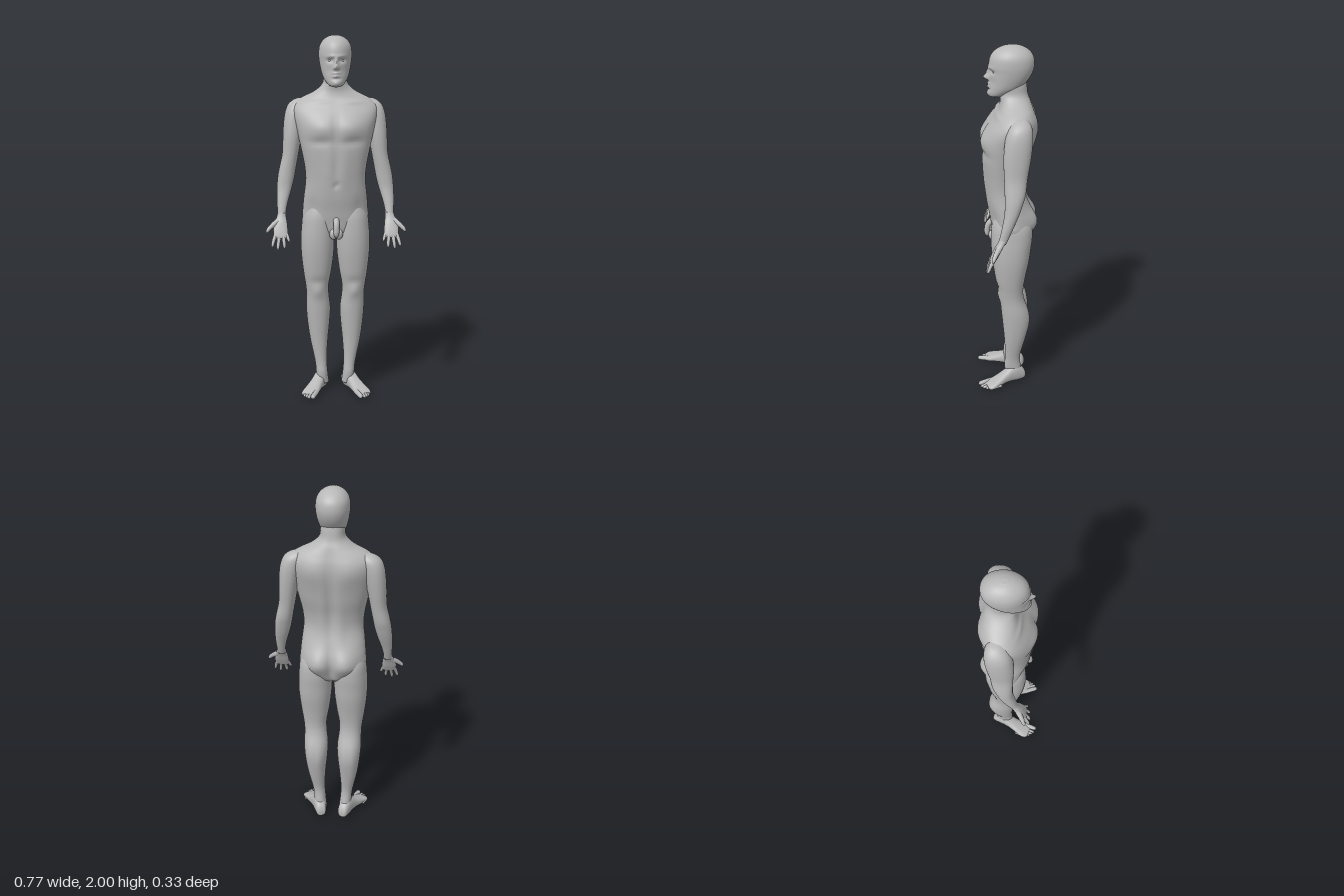
import * as THREE from 'three';
import { mergeVertices, mergeGeometries } from 'three/addons/utils/BufferGeometryUtils.js';

const skin = new THREE.MeshStandardMaterial({ color: 0xb8b8b8 });
skin.name = 'plain grey';

// Gaussian falloff around a point, used for all soft sculpting
const g = (x, y, cx, cy, rx, ry) => Math.exp(-(((x - cx) / rx) ** 2) - ((y - cy) / ry) ** 2);
const spow = (v, e) => Math.sign(v) * Math.abs(v) ** e;

// Smooth skin through horizontal sections [y, centreX, halfWidth, frontZ, backZ, squareness]
function loft(rows, { n = 48, sub = 5, sculpt } = {}) {
  const rings = [];
  const at = (i) => rows[Math.min(Math.max(i, 0), rows.length - 1)];
  for (let i = 0; i < rows.length - 1; i++) {
    for (let k = 0; k < sub || (i === rows.length - 2 && k === sub); k++) {
      const t = k / sub;
      rings.push([0, 1, 2, 3, 4, 5].map((c) => {
        const [a, b, d, e] = [at(i - 1), at(i), at(i + 1), at(i + 2)].map((r) => r[c] ?? 2.2);
        return 0.5 * (2 * b + (d - a) * t + (2 * a - 5 * b + 4 * d - e) * t * t + (3 * b - a - 3 * d + e) * t ** 3);
      }));
    }
  }
  const pos = [], index = [], p = new THREE.Vector3();
  for (const [y, cx, rx, zf, zb, sq] of rings) {
    for (let j = 0; j < n; j++) {
      const a = (j / n) * Math.PI * 2;
      p.set(cx + rx * spow(Math.cos(a), 2 / sq), y, (zf + zb) / 2 + ((zf - zb) / 2) * spow(Math.sin(a), 2 / sq));
      if (sculpt) sculpt(p, Math.sin(a));
      pos.push(p.x, p.y, p.z);
    }
  }
  for (let i = 0; i < rings.length - 1; i++) {
    for (let j = 0; j < n; j++) {
      const a = i * n + j, b = i * n + ((j + 1) % n);
      index.push(a, a + n, b, b, a + n, b + n);
    }
  }
  // close both ends with a fan
  const last = (rings.length - 1) * n, c0 = pos.length / 3;
  for (const r of [rings[0], rings[rings.length - 1]]) pos.push(r[1], r[0], (r[3] + r[4]) / 2);
  for (let j = 0; j < n; j++) {
    const k = (j + 1) % n;
    index.push(c0, j, k, c0 + 1, last + k, last + j);
  }
  const geo = new THREE.BufferGeometry();
  geo.setAttribute('position', new THREE.Float32BufferAttribute(pos, 3));
  geo.setIndex(index);
  geo.computeVertexNormals();
  return geo;
}

// Tapered, round-tipped digit along a few points
function digit(points, r0, r1) {
  const curve = new THREE.CatmullRomCurve3(points.map((q) => new THREE.Vector3(...q)));
  const seg = 16, radial = 12, geo = new THREE.TubeGeometry(curve, seg, 1, radial);
  const pos = geo.attributes.position, v = new THREE.Vector3();
  for (let i = 0; i <= seg; i++) {
    const t = i / seg, c = curve.getPointAt(t);
    const tip = t > 0.75 ? Math.sqrt(Math.max(0, 1 - ((t - 0.75) / 0.25) ** 2)) : 1;
    const r = (r0 + (r1 - r0) * t) * Math.max(tip, 0.02);
    for (let j = 0; j <= radial; j++) {
      const k = i * (radial + 1) + j;
      v.fromBufferAttribute(pos, k).sub(c).multiplyScalar(r).add(c);
      pos.setXYZ(k, v.x, v.y, v.z);
    }
  }
  geo.deleteAttribute('uv');
  geo.deleteAttribute('normal');
  const out = mergeVertices(geo, 1e-5);
  out.computeVertexNormals();
  return out;
}

function ball(r, x, y, z, sy = 1) {
  const geo = new THREE.SphereGeometry(r, 20, 14).scale(1, sy, 1).translate(x, y, z);
  geo.deleteAttribute('uv');
  return geo;
}

function mirrored(geo) {
  const m = geo.clone().scale(-1, 1, 1), ix = m.index;
  for (let i = 0; i < ix.count; i += 3) {
    const a = ix.getX(i);
    ix.setX(i, ix.getX(i + 1));
    ix.setX(i + 1, a);
  }
  return m;
}

export function createModel() {
  const model = new THREE.Group();
  model.name = 'standing figure';
  const add = (name, geo) => {
    const mesh = new THREE.Mesh(geo, skin);
    mesh.name = name;
    model.add(mesh);
  };
  const addPair = (name, geo) => {
    add('left ' + name, geo);
    add('right ' + name, mirrored(geo));
  };

  // Torso and neck, with chest, navel, spine and buttocks sculpted in
  add('torso', loft([
    [0.9, 0, 0.06, 0.04, -0.07], [0.93, 0, 0.13, 0.07, -0.11], [1.0, 0, 0.18, 0.085, -0.13],
    [1.06, 0, 0.18, 0.095, -0.13], [1.13, 0, 0.174, 0.108, -0.115], [1.22, 0, 0.164, 0.118, -0.095],
    [1.3, 0, 0.17, 0.124, -0.1, 2.3], [1.4, 0, 0.19, 0.13, -0.127, 2.4], [1.5, 0, 0.212, 0.128, -0.148, 2.4],
    [1.57, 0, 0.228, 0.105, -0.155, 2.4], [1.62, 0, 0.228, 0.072, -0.152, 2.3], [1.66, 0, 0.19, 0.045, -0.142],
    [1.7, 0, 0.112, 0.034, -0.13], [1.74, 0, 0.07, 0.038, -0.115], [1.79, 0, 0.064, 0.042, -0.108],
    [1.84, 0, 0.06, 0.03, -0.1],
  ], {
    n: 80, sub: 7, sculpt: (p, s) => {
      const x = Math.abs(p.x), y = p.y;
      if (s > 0) {
        p.z += s * (0.017 * g(x, y, 0.08, 1.51, 0.075, 0.055) - 0.009 * g(x, y, 0.09, 1.435, 0.07, 0.02)
          - 0.008 * g(x, y, 0, 1.5, 0.014, 0.09) - 0.005 * g(x, y, 0, 1.3, 0.012, 0.1)
          - 0.01 * g(x, y, 0, 1.2, 0.012, 0.014) + 0.005 * g(x, y, 0.045, 1.3, 0.03, 0.12)
          + 0.007 * g(x, y, 0.1, 1.645, 0.07, 0.012) - 0.008 * g(x, y, 0.13, 1.08, 0.03, 0.06));
      } else {
        p.z += s * (0.045 * g(x, y, 0.085, 1.035, 0.075, 0.08) - 0.016 * g(x, y, 0, 1.0, 0.018, 0.09)
          - 0.016 * g(x, y, 0, 1.42, 0.025, 0.22) + 0.014 * g(x, y, 0.1, 1.58, 0.075, 0.08)
          + 0.006 * g(x, y, 0.05, 1.25, 0.03, 0.12));
      }
    },
  }));

  // Head with sculpted brow, sockets, nose, lips and chin
  add('head', loft([
    [1.725, 0, 0.018, 0.08, 0.04], [1.733, 0, 0.036, 0.094, 0.01], [1.75, 0, 0.052, 0.098, -0.03],
    [1.78, 0, 0.069, 0.094, -0.08], [1.82, 0, 0.08, 0.091, -0.115], [1.86, 0, 0.087, 0.09, -0.137],
    [1.9, 0, 0.09, 0.092, -0.146], [1.94, 0, 0.085, 0.083, -0.14], [1.97, 0, 0.068, 0.06, -0.117],
    [1.99, 0, 0.042, 0.025, -0.083], [1.999, 0, 0.014, -0.01, -0.045],
  ], {
    n: 110, sub: 9, sculpt: (p, s) => {
      const x = Math.abs(p.x), y = p.y;
      p.x *= 1 - 0.16 * Math.max(0, s) ** 1.5;
      if (s > 0) {
        p.z += s * (0.029 * g(x, y, 0, 1.832, 0.014, 0.014) + 0.016 * g(x, y, 0, 1.858, 0.01, 0.02)
          + 0.007 * g(x, y, 0.013, 1.826, 0.008, 0.008) - 0.013 * g(x, y, 0.038, 1.866, 0.02, 0.012)
          + 0.005 * g(x, y, 0.03, 1.887, 0.03, 0.009) + 0.008 * g(x, y, 0, 1.799, 0.024, 0.006)
          + 0.008 * g(x, y, 0, 1.783, 0.02, 0.006) - 0.005 * g(x, y, 0, 1.768, 0.03, 0.007)
          + 0.005 * g(x, y, 0, 1.745, 0.022, 0.012) - 0.004 * g(x, y, 0.045, 1.81, 0.02, 0.025));
      }
    },
  }));
  addPair('eye', ball(0.011, 0.034, 1.865, 0.061, 0.75));

  // Arms
  addPair('arm', loft([
    [1.01, 0.297, 0.022, 0.055, 0.014], [1.05, 0.296, 0.024, 0.046, -0.004], [1.1, 0.292, 0.031, 0.035, -0.025],
    [1.17, 0.281, 0.041, 0.022, -0.055], [1.23, 0.271, 0.046, 0.02, -0.076], [1.28, 0.262, 0.046, 0.02, -0.09],
    [1.36, 0.246, 0.045, 0.022, -0.1], [1.45, 0.236, 0.051, 0.025, -0.115], [1.53, 0.226, 0.056, 0.02, -0.125],
    [1.59, 0.214, 0.058, 0.01, -0.127], [1.63, 0.2, 0.053, -0.008, -0.12], [1.655, 0.185, 0.034, -0.035, -0.1],
    [1.662, 0.175, 0.012, -0.055, -0.08],
  ]));

  // Hands, palms forward with the thumbs outward
  addPair('hand', mergeGeometries([
    loft([
      [0.908, 0.3, 0.03, 0.1, 0.078, 2.6], [0.92, 0.302, 0.038, 0.1, 0.07, 2.6], [0.95, 0.304, 0.04, 0.09, 0.053, 2.5],
      [0.985, 0.303, 0.036, 0.075, 0.036], [1.015, 0.299, 0.027, 0.058, 0.018], [1.04, 0.296, 0.022, 0.048, 0.004],
    ], { n: 32 }),
    digit([[0.32, 0.995, 0.05], [0.352, 0.972, 0.07], [0.37, 0.955, 0.08], [0.382, 0.938, 0.089]], 0.017, 0.009),
    digit([[0.327, 0.935, 0.078], [0.341, 0.9, 0.097], [0.351, 0.862, 0.114]], 0.012, 0.008),
    digit([[0.309, 0.93, 0.08], [0.315, 0.893, 0.1], [0.32, 0.848, 0.119]], 0.012, 0.008),
    digit([[0.291, 0.93, 0.08], [0.286, 0.895, 0.1], [0.282, 0.855, 0.116]], 0.012, 0.008),
    digit([[0.275, 0.935, 0.078], [0.264, 0.912, 0.093], [0.256, 0.888, 0.104]], 0.011, 0.007),
  ]));

  // Legs
  addPair('leg', loft([
    [0.04, 0.07, 0.034, 0.005, -0.088], [0.1, 0.076, 0.033, 0.015, -0.08], [0.15, 0.08, 0.033, 0.012, -0.075],
    [0.2, 0.085, 0.037, 0.011, -0.08], [0.3, 0.092, 0.051, 0.016, -0.105], [0.4, 0.094, 0.063, 0.025, -0.124],
    [0.48, 0.095, 0.068, 0.033, -0.12], [0.56, 0.099, 0.063, 0.04, -0.096], [0.62, 0.102, 0.065, 0.048, -0.09],
    [0.7, 0.101, 0.078, 0.065, -0.1], [0.8, 0.1, 0.09, 0.08, -0.12], [0.88, 0.099, 0.093, 0.087, -0.13],
    [0.95, 0.097, 0.091, 0.088, -0.138], [1.02, 0.094, 0.086, 0.084, -0.135], [1.08, 0.09, 0.068, 0.07, -0.105],
  ], {
    sculpt: (p, s) => {
      if (s > 0) p.z += s * (0.009 * g(p.x, p.y, 0.1, 0.59, 0.03, 0.035) - 0.005 * g(p.x, p.y, 0.1, 0.65, 0.05, 0.02));
      else p.z += s * (0.005 * g(p.x, p.y, 0.065, 0.42, 0.025, 0.08) + 0.005 * g(p.x, p.y, 0.125, 0.44, 0.025, 0.08));
    },
  }));

  // Feet, built lengthwise from the heel and turned outward
  const foot = [[0, 0, 0.016, 0.018, 0.045], [0.012, 0, 0.028, 0.005, 0.075], [0.05, 0, 0.034, 0, 0.108],
    [0.09, 0.002, 0.035, 0.004, 0.102], [0.13, 0.006, 0.037, 0.006, 0.078], [0.18, 0.013, 0.043, 0.003, 0.052],
    [0.215, 0.016, 0.047, 0, 0.037], [0.235, 0.017, 0.043, 0.004, 0.028], [0.247, 0.015, 0.034, 0.008, 0.022]]
    .map(([l, x, w, low, high]) => [l, x, w, -low, -high, 2.4]);
  const toes = [0, 1, 2, 3, 4].map((i) => {
    const x = i ? -0.01 + i * 0.0155 : -0.018, end = i ? 0.284 - i * i * 0.0026 : 0.284, r = i ? 0.0095 : 0.0145;
    return digit([[x, r + 0.008, end - 0.075], [x, r + 0.005, end - 0.035], [x, r, end]], r, r * 0.92);
  });
  addPair('foot', mergeGeometries([loft(foot, { n: 40 }).rotateX(Math.PI / 2), ...toes])
    .rotateY(0.35).translate(0.058, 0, -0.105));

  // Groin anatomy
  add('groin', mergeGeometries([
    digit([[0, 1.015, 0.07], [0, 0.985, 0.1], [0, 0.945, 0.108], [0, 0.91, 0.104]], 0.017, 0.015),
    ball(0.022, 0.015, 0.925, 0.078, 1.35), ball(0.022, -0.015, 0.925, 0.078, 1.35),
  ]));
  return model;
}
